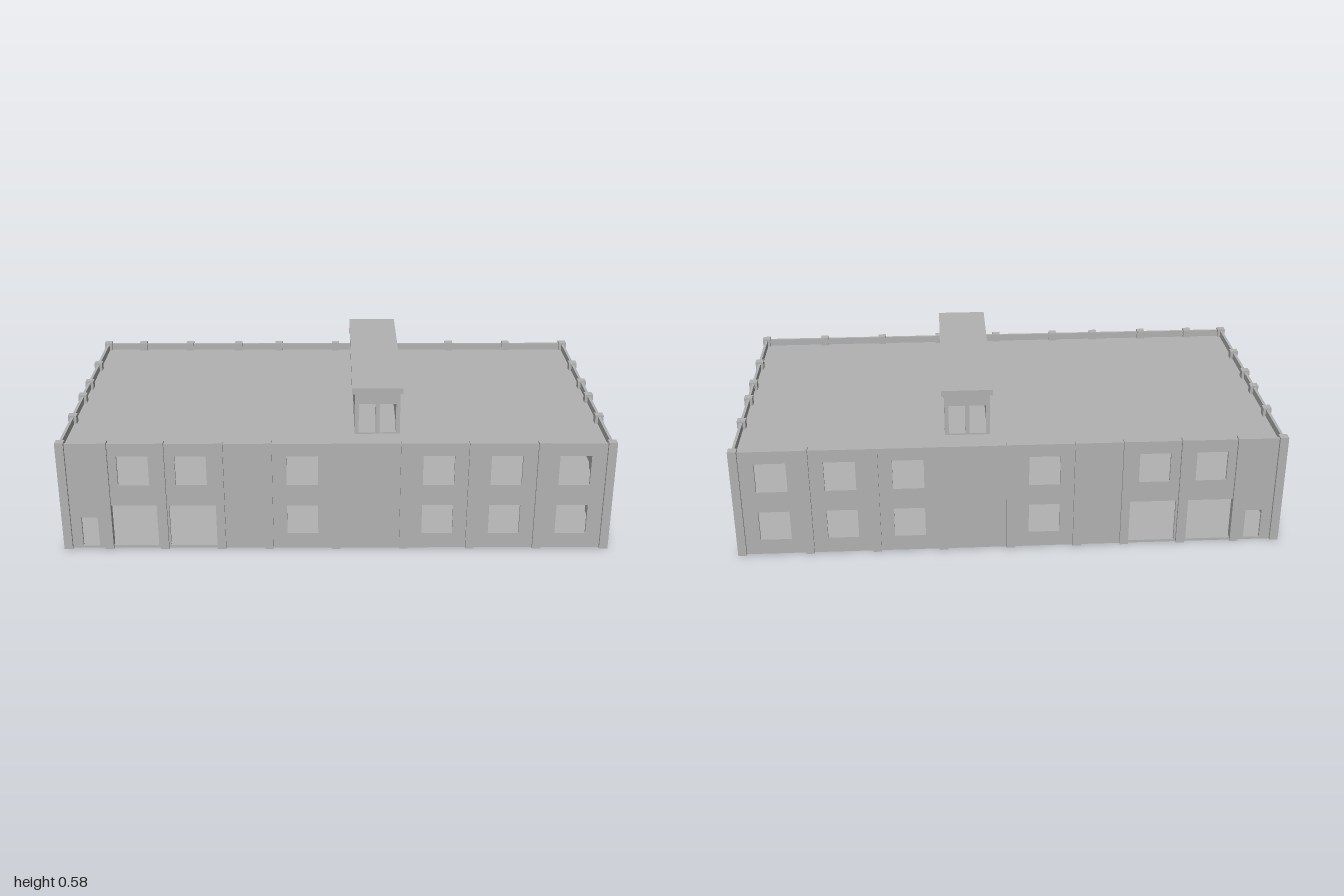
import * as THREE from 'three';

const T = 0.01;                       // wall thickness
const F2 = 0.197, ROOF = 0.394;       // upper floor and roof levels
const PARAPET = 0.421, COLUMN_TOP = 0.427;
const HX = 0.984, HZ = 0.519;         // wall centre lines

const concrete = new THREE.MeshStandardMaterial({ color: 0xb2b2b2 });
concrete.name = 'concrete grey';

export function createModel() {
  const model = new THREE.Group();
  model.name = 'building';

  const add = (geo, name, x = 0, y = 0, z = 0) => {
    const m = new THREE.Mesh(geo, concrete);
    m.name = name;
    m.position.set(x, y, z);
    model.add(m);
    return m;
  };
  const box = (name, x0, x1, y0, y1, z0, z1) =>
    add(new THREE.BoxGeometry(x1 - x0, y1 - y0, z1 - z0), name,
      (x0 + x1) / 2, (y0 + y1) / 2, (z0 + z1) / 2);

  // Rectangle outline
  const rect = (P, a, b, y0, y1) => {
    const p = new P();
    p.moveTo(a, y0); p.lineTo(b, y0); p.lineTo(b, y1); p.lineTo(a, y1); p.closePath();
    return p;
  };
  // Upright wall from a to b with rectangular holes [a, b, y0, y1]
  const wall = (a, b, y0, y1, holes) => {
    const s = rect(THREE.Shape, a, b, y0, y1);
    holes.forEach(h => s.holes.push(rect(THREE.Path, ...h)));
    return new THREE.ExtrudeGeometry(s, { depth: T, bevelEnabled: false }).translate(0, 0, -T / 2);
  };
  const wallX = (name, z, a, b, y0, y1, holes = []) => add(wall(a, b, y0, y1, holes), name, 0, 0, z);
  const wallZ = (name, x, a, b, y0, y1, holes = []) =>
    add(wall(a, b, y0, y1, holes).rotateY(-Math.PI / 2), name, x, 0, 0);

  // Opening types, given by centre and floor level
  const opening = (c, w, y0, y1) => [c - w / 2, c + w / 2, y0, y1];
  const win = (c, floor) => opening(c, 0.113, floor + 0.06, floor + 0.175);
  const slit = (c, floor) => opening(c, 0.06, floor + 0.06, floor + 0.175);
  const door = (c, floor) => opening(c, 0.06, floor + 0.01, floor + 0.125);
  const gate = c => opening(c, 0.17, 0.01, 0.175);

  // Floor and roof slabs
  for (const [name, top] of [['groundFloor', T], ['upperFloor', F2], ['roof', ROOF]])
    box(name, -HX, HX, top - T, top, -HZ, HZ);

  // Long outer walls, the same front and back
  const fullBays = [-0.122, 0.369, 0.613, 0.858];
  const longHoles = [
    ...fullBays.flatMap(c => [win(c, 0), win(c, F2)]),
    win(-0.73, F2), win(-0.522, F2), gate(-0.737), gate(-0.522), door(-0.9, 0),
  ];
  wallX('frontWall', HZ, -HX, HX, 0, PARAPET, longHoles);
  wallX('backWall', -HZ, -HX, HX, 0, PARAPET, longHoles);

  // End walls: the right-hand one has no ground floor openings
  const bays = [-0.396, -0.17, 0.17, 0.396];
  const upperHoles = [...bays.map(c => win(c, F2)), slit(0, F2)];
  const lowerHoles = [...bays.map(c => win(c, 0)), door(0, 0)];
  wallZ('leftWall', HX, -HZ, HZ, 0, PARAPET, [...upperHoles, ...lowerHoles]);
  wallZ('rightWall', -HX, -HZ, HZ, 0, PARAPET, upperHoles);

  // Columns along all sides
  const S = 0.031;
  const column = (x, z) =>
    box('column', x - S / 2, x + S / 2, 0, COLUMN_TOP, z - S / 2, z + S / 2);
  const columnX = [-HX, -0.833, -0.63, -0.42, -0.245, 0, 0.247, 0.491, 0.737, HX];
  for (const z of [-HZ, HZ]) columnX.forEach(x => column(x, z));
  for (const x of [-HX, HX]) [-0.273, -0.072, 0.072, 0.273].forEach(z => column(x, z));

  // Corridor walls and cross partitions on both floors
  for (const side of [1, -1]) {
    const z = side * 0.072;
    for (const floor of [0, F2]) {
      const y0 = floor, y1 = floor + F2 - T;
      wallX('corridorWall', z, 0.247, HX, y0, y1, [door(0.614, floor)]);
      let holes = [];
      if (floor) holes = [door(-0.743, floor)];
      else if (side > 0) holes = [door(-0.778, 0), opening(-0.698, 0.06, 0.05, 0.12)];
      wallX('corridorWall', z, -HX, -0.245, y0, y1, holes);
      for (const x of [0.247, -0.245, -0.42])
        wallZ('partition', x, Math.min(z, side * HZ), Math.max(z, side * HZ), y0, y1);
    }
  }

  // Rooftop stair house, open at both ends
  const x0 = 0.068, x1 = 0.234, zEnd = 0.378, top = 0.555;
  for (const x of [x0 + T / 2, x1 - T / 2]) wallZ('stairHouseSide', x, -zEnd, zEnd, ROOF, top);
  for (const z of [-zEnd + T / 2, zEnd - T / 2])
    wallX('stairHouseEnd', z, x0 + T, x1 - T, ROOF, top,
      [opening(0.113, 0.06, ROOF + 0.006, 0.512), opening(0.189, 0.06, ROOF + 0.006, 0.512)]);
  box('stairHouseRoof', 0.058, 0.244, top, 0.577, -0.388, 0.388);

  return model;
}
